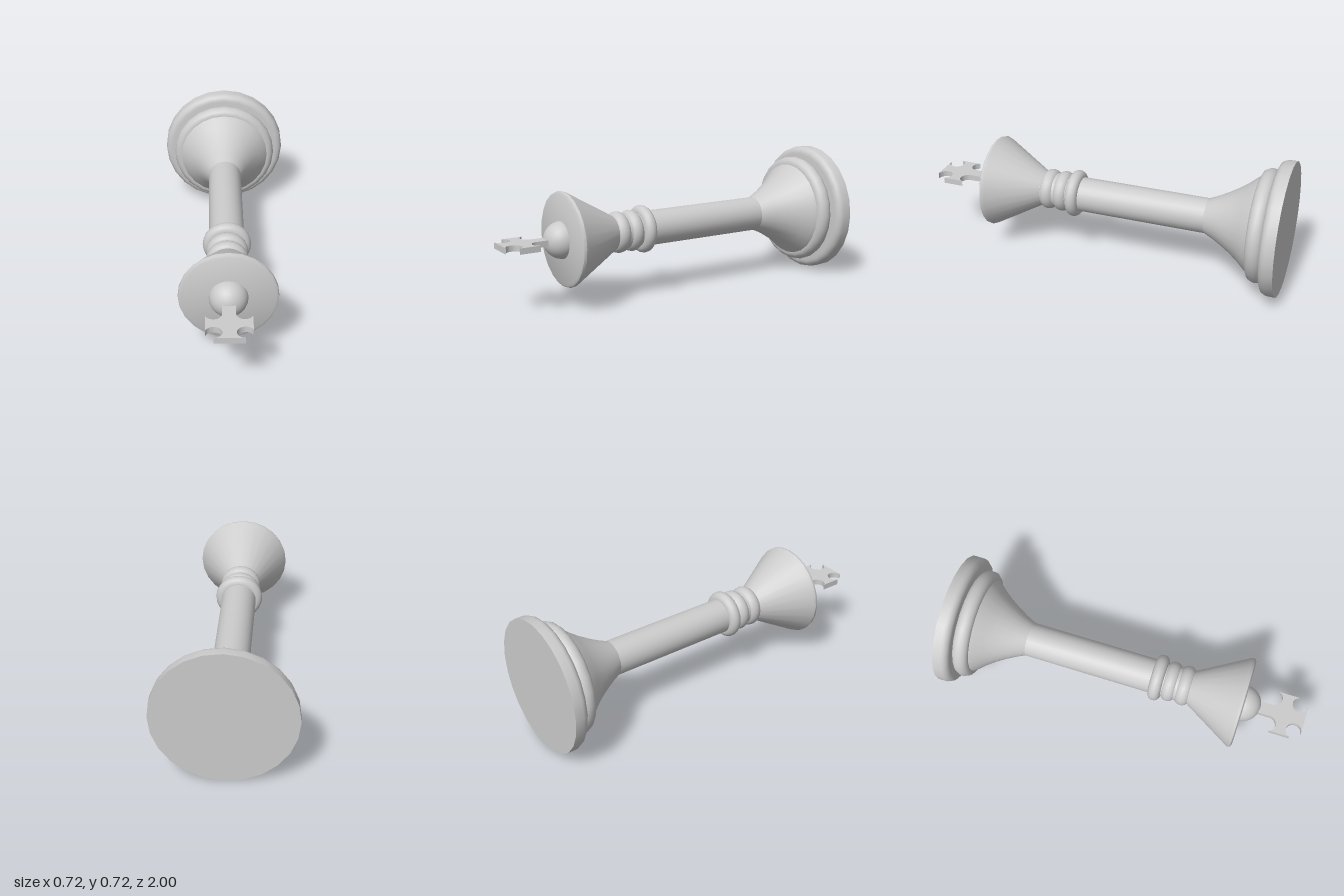
import * as THREE from 'three';
import { toCreasedNormals } from 'three/addons/utils/BufferGeometryUtils.js';

const AXIS_Y = 0.362;
const SIDES = 24;

export function createModel() {
  const group = new THREE.Group();
  const material = new THREE.MeshStandardMaterial({ color: 0xcccccc });

  function add(name, geometry) {
    const mesh = new THREE.Mesh(geometry, material);
    mesh.name = name;
    mesh.position.y = AXIS_Y;
    group.add(mesh);
  }

  // Turned part: profile of [radius, z] from back to front, spun about the z axis
  function turned(name, profile) {
    const points = profile.map(([r, z]) => new THREE.Vector2(r, z));
    const lathe = new THREE.LatheGeometry(points, SIDES).rotateX(Math.PI / 2);
    add(name, toCreasedNormals(lathe, 0.65));
  }

  // Points on an elliptical arc of a profile, angles in degrees
  function arc(r, z, dr, dz, from, to, steps) {
    return Array.from({ length: steps + 1 }, (_, i) => {
      const a = THREE.MathUtils.degToRad(from + ((to - from) * i) / steps);
      return [r + dr * Math.cos(a), z + dz * Math.sin(a)];
    });
  }

  // Base: foot disc with a rounded shoulder, then a rounded collar
  turned('foot', [[0, -1], [0.361, -1], ...arc(0.321, -0.955, 0.04, 0.037, 0, 90, 5), [0, -0.918]]);
  turned('baseCollar', [[0.27, -0.93], ...arc(0.265, -0.878, 0.041, 0.044, -70, 90, 9), [0.2, -0.834]]);

  // Flared neck rising into the plain shaft
  turned('flare', [[0.268, -0.84], [0.25, -0.815], [0.215, -0.775], [0.18, -0.727],
    [0.148, -0.675], [0.119, -0.622], [0.095, -0.57]]);
  turned('shaft', [[0.095, -0.58], [0.095, 0.39]]);

  // Three rounded neck rings
  [[0.13, 0.177, 0.035], [0.112, 0.25, 0.039], [0.112, 0.33, 0.04]].forEach(([r, z, half], i) => {
    turned('neckRing' + (i + 1), [[0.07, z - half], ...arc(r - 0.035, z, 0.035, half, -90, 90, 8), [0.07, z + half]]);
  });

  // Conical head with a soft rim and flat front
  turned('head', [[0.095, 0.365], [0.246, 0.628], [0.253, 0.642], [0.25, 0.655], [0.237, 0.662], [0, 0.662]]);

  // Ball finial
  add('finialBall', new THREE.SphereGeometry(0.1, SIDES, 16).rotateX(Math.PI / 2).translate(0, 0, 0.655));

  // Flat cross with round bites between its arms
  const half = new THREE.Path();
  half.moveTo(0.034, 0.68);
  half.lineTo(0.034, 0.815);
  half.absarc(0.076, 0.815, 0.042, Math.PI, 0.37, true);
  half.lineTo(0.115, 0.943);
  half.absarc(0.076, 0.957, 0.042, -0.37, -1.5 * Math.PI, true);
  half.lineTo(0.076, 1);
  const right = half.getPoints(10);
  const left = right.map((p) => new THREE.Vector2(-p.x, p.y)).reverse();
  const cross = new THREE.ExtrudeGeometry(new THREE.Shape([...right, ...left]), { depth: 0.032, bevelEnabled: false });
  cross.translate(0, 0, -0.016).rotateX(Math.PI / 2);
  add('cross', toCreasedNormals(cross, 0.65));

  return group;
}
